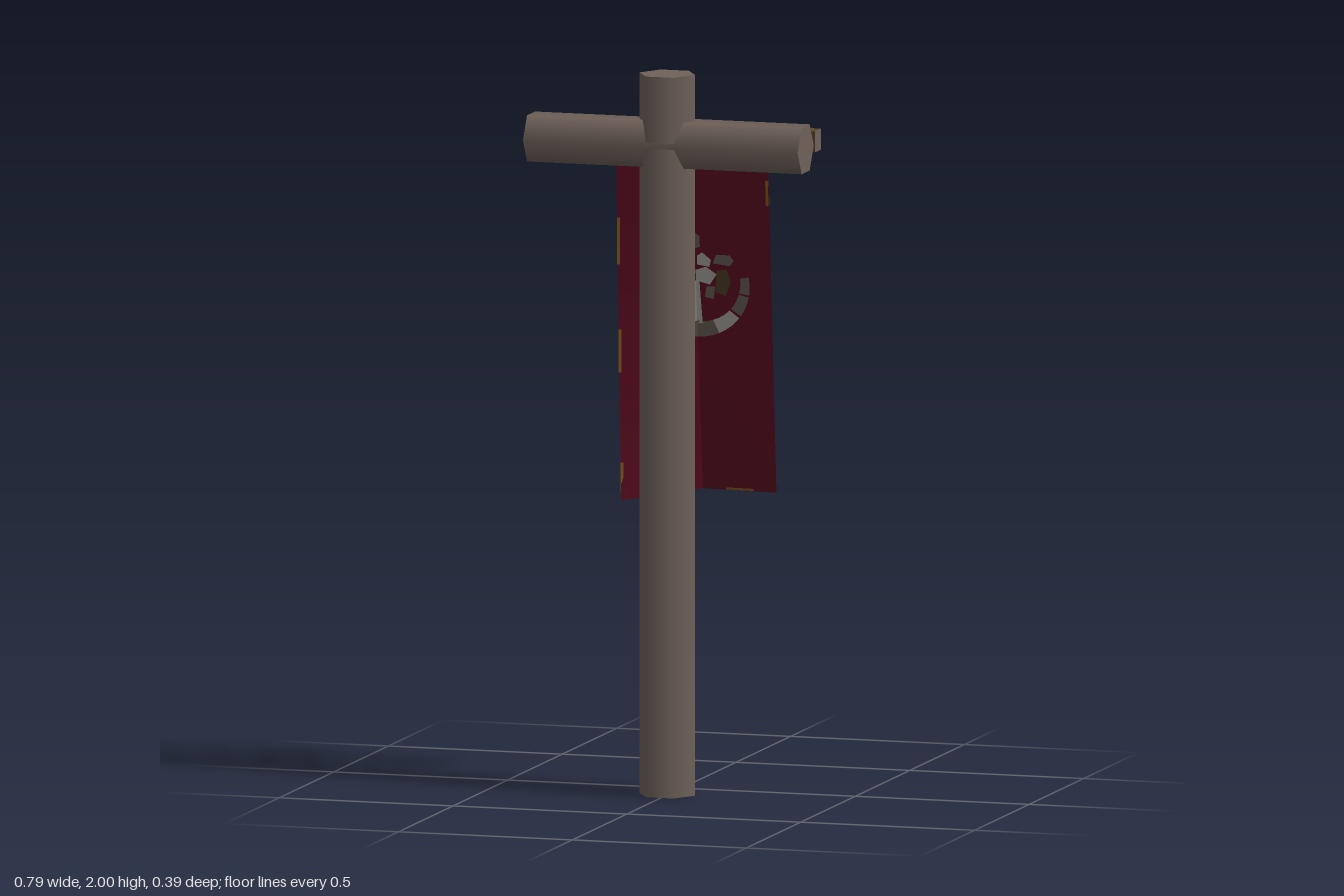
import * as THREE from 'three';
import { mergeGeometries } from 'three/addons/utils/BufferGeometryUtils.js';

function material(name, color, side = THREE.FrontSide) {
  const m = new THREE.MeshStandardMaterial({ color, side });
  m.name = name;
  return m;
}

// Banner outline: flat at the rail, blown backwards along the centre fold and the +x edge
const TOP = 1.77;
const EDGES = [
  { x0: -0.22, x1: -0.205, y: 0.775, z: -0.1 },
  { x0: 0, x1: 0, y: 0.805, z: -0.195 },
  { x0: 0.217, x1: 0.215, y: 0.803, z: -0.186 },
];

function clothZ(x, y) {
  const t = (TOP - y) / (TOP - 0.8);
  const edge = x < 0 ? EDGES[0] : EDGES[2];
  const k = Math.min(1, Math.abs(x) / 0.215);
  return -0.1 + t * THREE.MathUtils.lerp(EDGES[1].z + 0.1, edge.z + 0.1, k);
}

// One half of the cloth between two edges
function clothPanel(a, b) {
  const g = new THREE.PlaneGeometry(1, 1, 4, 8);
  const p = g.attributes.position;
  const { lerp } = THREE.MathUtils;
  for (let i = 0; i < p.count; i++) {
    const u = p.getX(i) + 0.5, t = 0.5 - p.getY(i);
    p.setXYZ(i,
      lerp(lerp(a.x0, a.x1, t), lerp(b.x0, b.x1, t), u),
      lerp(TOP, lerp(a.y, b.y, u), t),
      lerp(-0.1, lerp(a.z, b.z, u), t));
  }
  g.computeVertexNormals();
  return g;
}

// Flat painted patch laid on both sides of the cloth
function patch(points) {
  const shape = new THREE.Shape(points.map(([x, y]) => new THREE.Vector2(x, y)));
  return mergeGeometries([-0.004, 0.004].map((offset) => {
    const g = new THREE.ShapeGeometry(shape);
    const p = g.attributes.position;
    for (let i = 0; i < p.count; i++) p.setZ(i, clothZ(p.getX(i), p.getY(i)) + offset);
    g.computeVertexNormals();
    return g;
  }));
}

// Crescent piece between two angles, in degrees from straight down
function crescent(a, b) {
  const outer = [], inner = [];
  for (let i = 0; i <= 3; i++) {
    const deg = a + (b - a) * i / 3, r = THREE.MathUtils.degToRad(deg);
    const w = 0.045 - 0.02 * Math.abs(deg) / 100;
    outer.push([Math.sin(r) * 0.155, 1.38 - Math.cos(r) * 0.148]);
    inner.unshift([Math.sin(r) * (0.155 - w), 1.38 - Math.cos(r) * (0.148 - w)]);
  }
  return patch([...outer, ...inner]);
}

export function createModel() {
  const wood = material('weathered wood', 0x6f625a);
  const railWood = material('brown wood', 0x5a442b);
  const cloth = material('crimson cloth', 0x5c0a20, THREE.DoubleSide);
  const pale = material('pale paint', 0xa8a39d, THREE.DoubleSide);
  const grey = material('grey paint', 0x655c52, THREE.DoubleSide);
  const brown = material('brown paint', 0x4c3b24, THREE.DoubleSide);
  const gold = material('gold trim', 0x85561f, THREE.DoubleSide);

  const model = new THREE.Group();
  model.name = 'bannerPost';
  const add = (name, geometry, mat, parent = model) => {
    const mesh = new THREE.Mesh(geometry, mat);
    mesh.name = name;
    parent.add(mesh);
    return mesh;
  };

  // Six-sided post and crossbar
  const post = new THREE.CylinderGeometry(0.08, 0.08, 2, 6, 1, false, Math.PI / 6);
  add('post', post, wood).position.set(-0.003, 1, 0.12);
  const bar = new THREE.CylinderGeometry(0.074, 0.074, 0.79, 6).rotateZ(Math.PI / 2);
  add('crossbar', bar, wood).position.set(0, 1.808, 0.12);

  // Banner rail with weathered ends, held by two rods
  add('rail', new THREE.BoxGeometry(0.725, 0.058, 0.055),
    [wood, wood, railWood, railWood, railWood, railWood]).position.set(0, 1.8, -0.097);
  for (const x of [-0.261, 0.245]) {
    add('railRod', new THREE.BoxGeometry(0.016, 0.018, 0.14), railWood).position.set(x, 1.8, -0.005);
  }

  // Cloth in two panels meeting at the fold
  const banner = new THREE.Group();
  banner.name = 'banner';
  model.add(banner);
  add('rightPanel', clothPanel(EDGES[0], EDGES[1]), cloth, banner);
  add('leftPanel', clothPanel(EDGES[1], EDGES[2]), cloth, banner);

  // Painted crescent, mirrored about the fold
  for (const s of [-1, 1]) {
    add('crescentBase', crescent(0, s * 24), grey, banner);
    add('crescentArm', crescent(s * 24, s * 52), pale, banner);
    add('crescentShoulder', crescent(s * 55, s * 78), grey, banner);
    add('crescentTip', crescent(s * 80, s * 100), s > 0 ? grey : brown, banner);
    add('stem', patch([[0, 1.27], [s * 0.016, 1.27], [s * 0.01, 1.39], [0, 1.39]]), pale, banner);
    add('knob', patch([[0, 1.48], [s * 0.014, 1.485], [s * 0.014, 1.515], [0, 1.525]]), grey, banner);
    add('upperPatch', patch([[s * 0.05, 1.44], [s * 0.1, 1.435], [s * 0.11, 1.45], [s * 0.1, 1.465], [s * 0.06, 1.465]]),
      grey, banner);
    add('innerPatch', patch([[0, 1.39], [s * 0.04, 1.38], [s * 0.06, 1.41], [s * 0.03, 1.43], [0, 1.42]]),
      s > 0 ? pale : brown, banner);
    add('sidePatch', patch([[s * 0.055, 1.36], [s * 0.085, 1.35], [s * 0.1, 1.39], [s * 0.09, 1.425], [s * 0.06, 1.42]]),
      brown, banner);
    add('lowerPatch', patch([[s * 0.025, 1.345], [s * 0.05, 1.34], [s * 0.055, 1.375], [s * 0.03, 1.375]]),
      grey, banner);
  }
  add('highlight', patch([[0.005, 1.435], [0.04, 1.43], [0.045, 1.45], [0.02, 1.47], [0.005, 1.46]]), pale, banner);

  // Worn gold trim along the edges
  const strip = (x0, x1, y0, y1) =>
    add('trim', patch([[x0, y0], [x1, y0], [x1, y1], [x0, y1]]), gold, banner);
  strip(-0.216, -0.207, 1.43, 1.56);
  strip(-0.211, -0.204, 1.13, 1.25);
  strip(-0.206, -0.199, 0.8, 0.88);
  strip(0.208, 0.216, 1.61, 1.68);
  strip(0.07, 0.15, 0.805, 0.811);

  return model;
}
